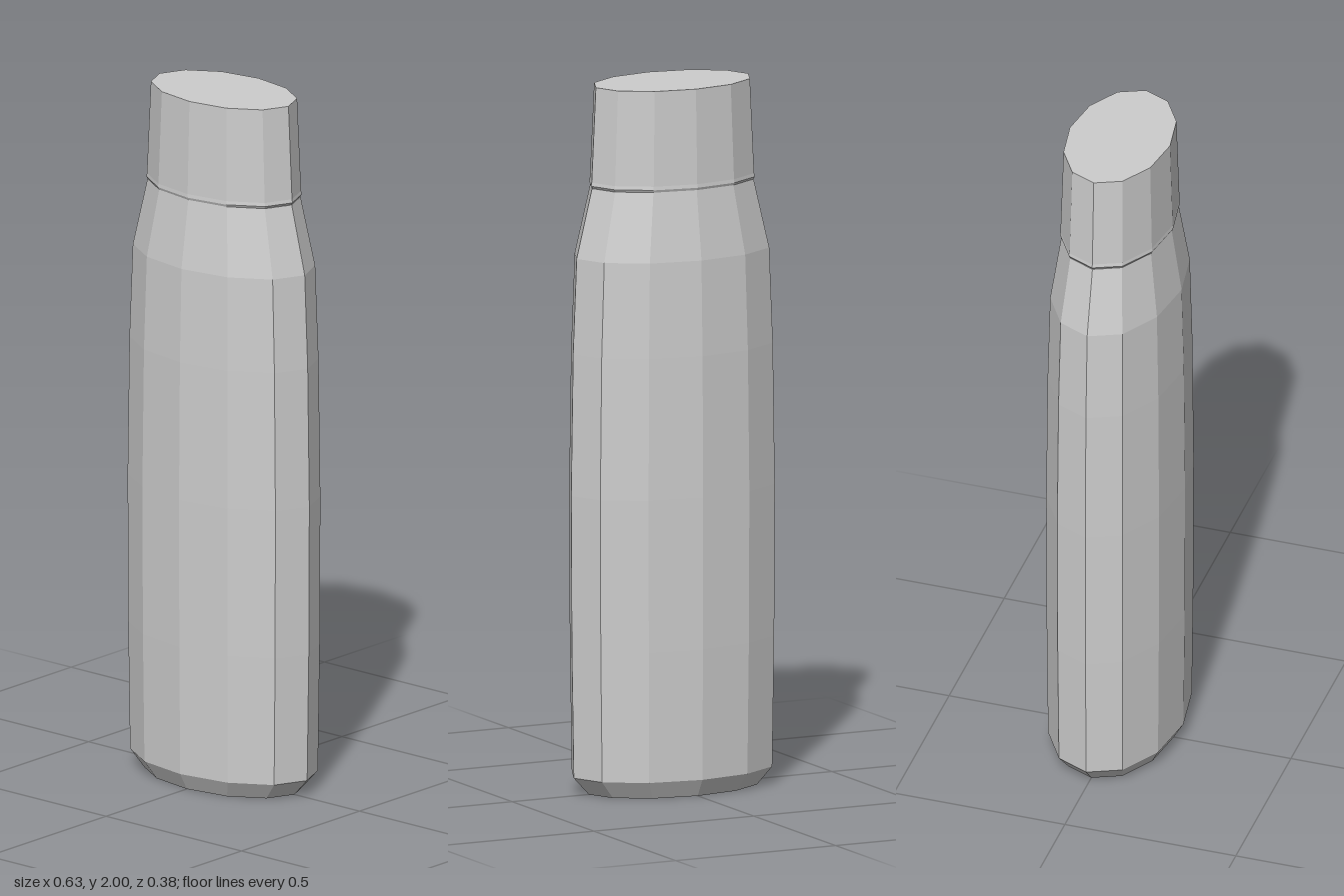
import * as THREE from 'three';

const SIDES = 12;

export function createModel() {
  const model = new THREE.Group();
  model.name = 'flask';

  const gray = new THREE.MeshStandardMaterial({ color: 0xcccccc, flatShading: true });
  gray.name = 'light gray';

  // Twelve-sided revolved profile, flattened to an oval cross-section
  function ovalPart(name, profile, depth) {
    const points = profile.map(([r, y]) => new THREE.Vector2(r, y));
    const geometry = new THREE.LatheGeometry(points, SIDES);
    geometry.scale(1, 1, depth);
    const mesh = new THREE.Mesh(geometry, gray);
    mesh.name = name;
    model.add(mesh);
  }

  // Body: chamfered foot, gently bulging sides, tapered shoulder
  ovalPart('body', [
    [0, 0], [0.26, 0], [0.307, 0.05], [0.313, 0.42], [0.315, 0.85],
    [0.309, 1.25], [0.298, 1.52], [0.25, 1.715], [0, 1.715],
  ], 0.605);

  // Cap: small bevelled lip, slightly narrowing to a flat top
  ovalPart('cap', [
    [0, 1.715], [0.248, 1.715], [0.253, 1.722], [0.251, 1.732], [0.238, 2], [0, 2],
  ], 0.615);

  return model;
}
